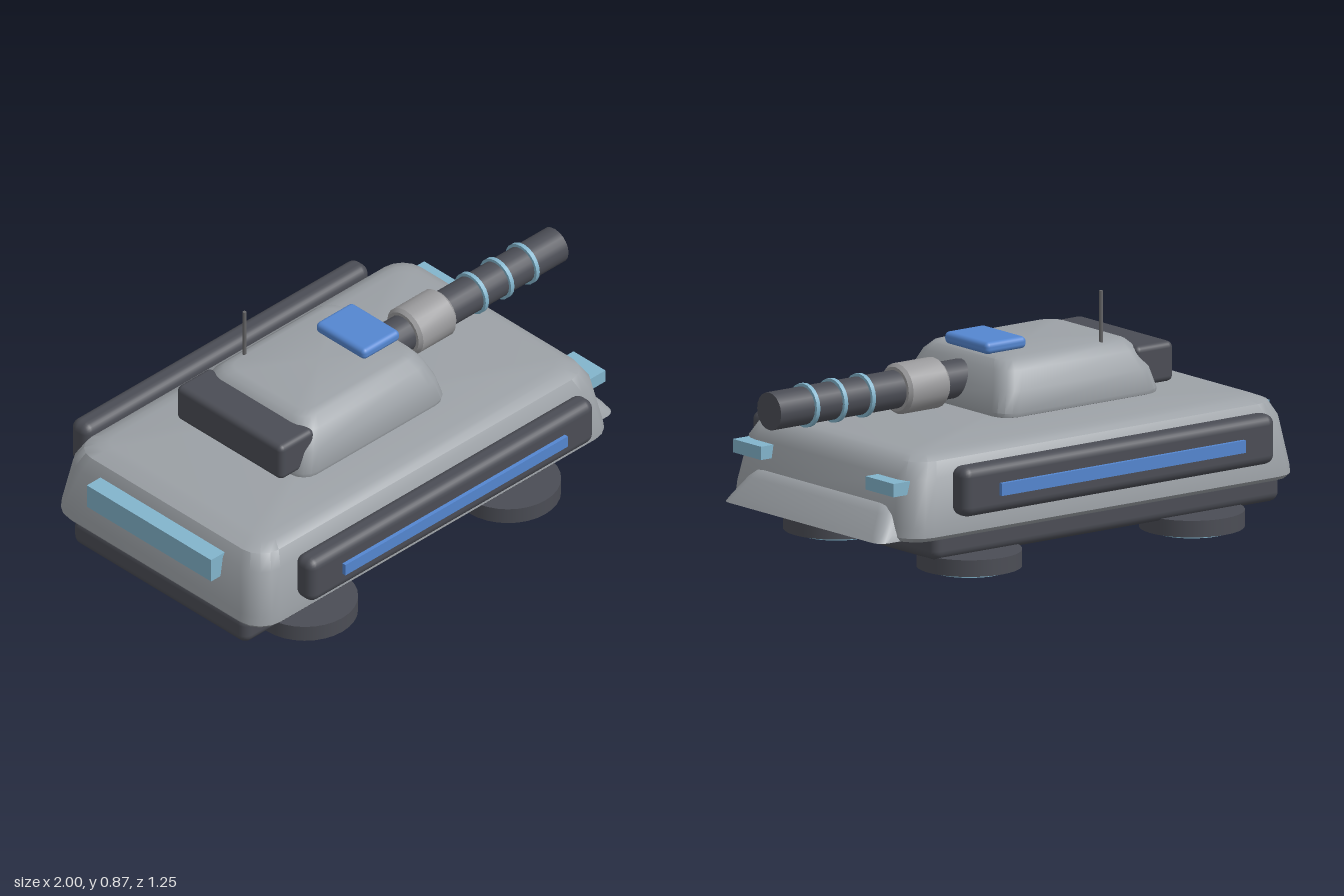
import * as THREE from 'three';
import { toCreasedNormals } from 'three/addons/utils/BufferGeometryUtils.js';
import { RoundedBoxGeometry } from 'three/addons/geometries/RoundedBoxGeometry.js';

const paint = (name, color) => {
  const m = new THREE.MeshStandardMaterial({ color });
  m.name = name;
  return m;
};

// Stack of rounded rectangles; each level is [y, xMin, xMax, halfZ, cornerRadius]
function loft(levels, cornerSteps = 4) {
  const pos = [], index = [];
  const n = 4 * (cornerSteps + 1);
  for (const [y, x0, x1, hz, r] of levels) {
    for (let c = 0; c < 4; c++) {
      const cx = c === 0 || c === 3 ? x1 - r : x0 + r;
      const cz = c < 2 ? hz - r : r - hz;
      for (let s = 0; s <= cornerSteps; s++) {
        const a = (c + s / cornerSteps) * Math.PI / 2;
        pos.push(cx + r * Math.cos(a), y, cz + r * Math.sin(a));
      }
    }
  }
  const last = (levels.length - 1) * n;
  const bottomMid = levels.length * n, topMid = bottomMid + 1;
  for (const [y, x0, x1] of [levels[0], levels[levels.length - 1]]) pos.push((x0 + x1) / 2, y, 0);
  for (let j = 0; j < n; j++) {
    const k = (j + 1) % n;
    for (let i = 0; i < last; i += n) {
      index.push(i + j, i + n + j, i + k, i + k, i + n + j, i + n + k);
    }
    index.push(bottomMid, j, k, topMid, last + k, last + j);
  }
  const g = new THREE.BufferGeometry();
  g.setAttribute('position', new THREE.Float32BufferAttribute(pos, 3));
  g.setIndex(index);
  return toCreasedNormals(g, 0.65);
}

export function createModel() {
  const model = new THREE.Group();
  model.name = 'hoverTank';

  const armour = paint('armour grey', 0x9ca1a6);
  const dark = paint('dark grey', 0x4b4d55);
  const blue = paint('panel blue', 0x5486d0);
  const glow = paint('light blue', 0x82b4cc);
  const steel = paint('steel grey', 0x9a9a9c);
  const rod = paint('antenna grey', 0x666668);

  const add = (name, geometry, material, x = 0, y = 0, z = 0) => {
    const mesh = new THREE.Mesh(geometry, material);
    mesh.name = name;
    mesh.position.set(x, y, z);
    model.add(mesh);
    return mesh;
  };
  // Boxes are given by their minimum and maximum corners
  const box = (name, material, a, b, radius = 0) => {
    const [w, h, d] = a.map((v, i) => b[i] - v);
    const g = radius ? new RoundedBoxGeometry(w, h, d, 3, radius) : new THREE.BoxGeometry(w, h, d);
    return add(name, g, material, ...a.map((v, i) => (v + b[i]) / 2));
  };
  // Cylinders along x for the gun
  const gunPart = (name, material, x0, x1, r) => {
    const g = new THREE.CylinderGeometry(r, r, x1 - x0, 20).rotateZ(-Math.PI / 2);
    return add(name, g, material, (x0 + x1) / 2, 0.587, 0);
  };

  // Hull, sloped nose and undercarriage
  add('hull', loft([
    [0.155, -0.92, 0.73, 0.475, 0.08],
    [0.165, -0.96, 0.77, 0.515, 0.09],
    [0.18, -0.972, 0.78, 0.53, 0.1],
    [0.215, -0.968, 0.775, 0.529, 0.1],
    [0.383, -0.942, 0.745, 0.5, 0.1],
    [0.438, -0.912, 0.712, 0.47, 0.09],
    [0.455, -0.87, 0.675, 0.43, 0.07],
    [0.462, -0.835, 0.64, 0.395, 0.05],
  ]), armour);
  add('nose', loft([
    [0.155, 0.6, 0.83, 0.41, 0.03],
    [0.165, 0.6, 0.86, 0.448, 0.04],
    [0.19, 0.6, 0.845, 0.44, 0.05],
    [0.255, 0.6, 0.795, 0.405, 0.05],
    [0.278, 0.6, 0.775, 0.375, 0.04],
    [0.287, 0.6, 0.75, 0.345, 0.03],
  ]), armour);
  box('undercarriage', dark, [-0.955, 0.063, -0.437], [0.605, 0.175, 0.437], 0.035);

  // Side pods with blue strips
  for (const s of [1, -1]) {
    const side = s > 0 ? 'front' : 'back';
    const pod = box(side + 'SidePod', dark, [-0.798, 0.25, -0.046], [0.605, 0.43, 0.046], 0.036);
    pod.position.z = s * 0.564;
    const strip = box(side + 'PodStrip', blue, [-0.645, 0.315, -0.02], [0.45, 0.36, 0.02]);
    strip.position.z = s * 0.605;
    const lamp = box(side + 'NoseLamp', glow, [0.7, 0.33, -0.08], [0.802, 0.378, 0.08]);
    lamp.position.z = s * 0.375;

    // Hover pads with glowing discs below
    for (const x of [-0.6, 0.4]) {
      add('hoverPad', new THREE.CylinderGeometry(0.187, 0.187, 0.06, 32), dark, x, 0.044, s * 0.376);
      add('hoverGlow', new THREE.CylinderGeometry(0.14, 0.14, 0.03, 32), glow, x, 0.015, s * 0.376);
    }
  }
  box('rearLamp', glow, [-1, 0.307, -0.312], [-0.93, 0.4, 0.312]);

  // Turret with rear bustle, hatch and antenna
  add('turret', loft([
    [0.49, -0.52, 0.17, 0.285, 0.06],
    [0.495, -0.533, 0.185, 0.3, 0.065],
    [0.51, -0.535, 0.188, 0.305, 0.07],
    [0.584, -0.513, 0.168, 0.289, 0.07],
    [0.65, -0.482, 0.14, 0.257, 0.07],
    [0.68, -0.452, 0.117, 0.222, 0.06],
    [0.688, -0.42, 0.09, 0.195, 0.05],
  ]), armour);
  box('turretBustle', dark, [-0.61, 0.515, -0.265], [-0.44, 0.66, 0.265], 0.022);
  box('hatch', blue, [-0.062, 0.685, -0.124], [0.12, 0.729, 0.124], 0.018);
  add('antenna', new THREE.CylinderGeometry(0.007, 0.007, 0.2, 8), rod, -0.33, 0.77, -0.203);

  // Gun barrel, bevelled sleeve and rings
  gunPart('barrel', dark, 0.05, 1, 0.068);
  const sleeve = [[0, -0.093], [0.08, -0.093], [0.091, -0.08], [0.091, 0.08], [0.08, 0.093], [0, 0.093]];
  const sleeveGeometry = new THREE.LatheGeometry(sleeve.map(([r, y]) => new THREE.Vector2(r, y)), 20);
  add('barrelSleeve', toCreasedNormals(sleeveGeometry.rotateZ(-Math.PI / 2), 0.5), steel, 0.343, 0.587, 0);
  for (const x of [0.59, 0.715, 0.84]) gunPart('barrelRing', glow, x - 0.008, x + 0.008, 0.079);

  return model;
}
